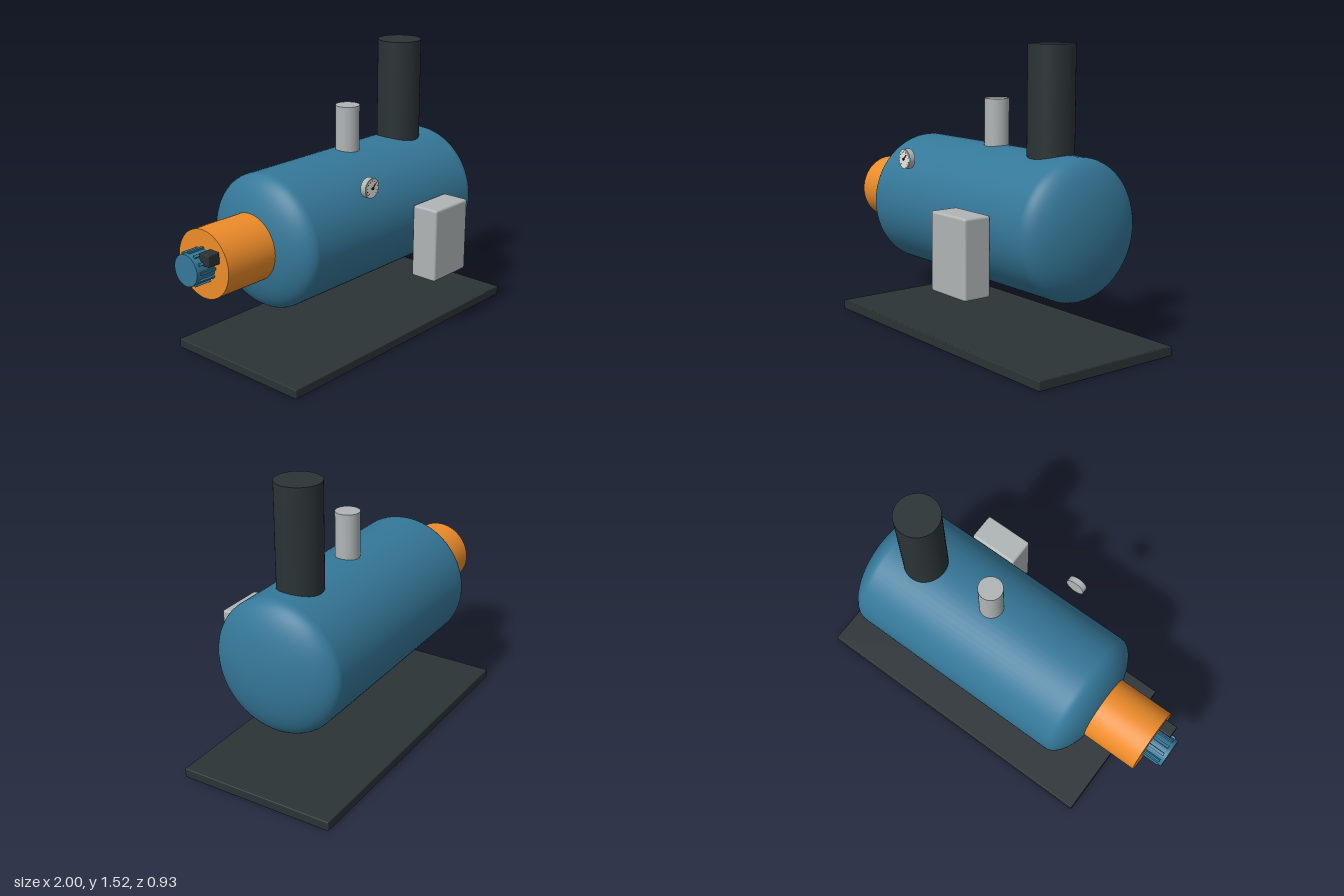
import * as THREE from 'three';
import { RoundedBoxGeometry } from 'three/addons/geometries/RoundedBoxGeometry.js';

const AXIS_Y = 0.64, AXIS_Z = -0.042;

export function createModel() {
  const model = new THREE.Group();
  model.name = 'industrialBoiler';
  const mat = (color) => new THREE.MeshStandardMaterial({ color });
  const blue = mat(0x357899), orange = mat(0xee8c2a), dark = mat(0x2b3336);
  const grey = mat(0xb0b5b6), white = mat(0xe8e8e4), red = mat(0xa02020), black = mat(0x15191b);

  function add(name, geometry, material, x, y, z, parent = model) {
    const mesh = new THREE.Mesh(geometry, material);
    mesh.name = name;
    mesh.position.set(x, y, z);
    parent.add(mesh);
    return mesh;
  }
  const cylinder = (r, h, n = 48) => new THREE.CylinderGeometry(r, r, h, n);
  const alongX = (r, h, n) => cylinder(r, h, n).rotateZ(Math.PI / 2);
  const alongZ = (r, h, n) => cylinder(r, h, n).rotateX(Math.PI / 2);

  // Base plate
  add('basePlate', new RoundedBoxGeometry(1.71, 0.05, 0.85, 2, 0.005), dark, 0.145, 0.025, -0.04);

  // Pressure vessel: straight shell with shallow elliptical ends, revolved about x
  const R = 0.352, CAP = 0.148, START = -0.455, END = 0.752, STEPS = 16;
  const profile = [];
  for (let i = 0; i <= STEPS; i++) {
    const a = (i / STEPS) * Math.PI / 2;
    profile.push(new THREE.Vector2(R * Math.sin(a), START - CAP * Math.cos(a)));
  }
  for (let i = STEPS; i >= 0; i--) {
    const a = (i / STEPS) * Math.PI / 2;
    profile.push(new THREE.Vector2(R * Math.sin(a), END + CAP * Math.cos(a)));
  }
  add('vessel', new THREE.LatheGeometry(profile, 72).rotateZ(-Math.PI / 2), blue, 0, AXIS_Y, AXIS_Z);

  // Chimney and steam outlet, both running down into the shell
  add('chimney', cylinder(0.117, 0.6), dark, 0.567, 1.22, AXIS_Z);
  add('steamOutlet', cylinder(0.064, 0.31), grey, 0.142, 1.075, AXIS_Z);

  // Burner housing
  add('burnerHousing', alongX(0.175, 0.34), orange, -0.72, AXIS_Y, AXIS_Z);

  // Finned burner motor with its terminal box
  const motor = new THREE.Group();
  motor.name = 'burnerMotor';
  motor.position.set(0, AXIS_Y, AXIS_Z);
  model.add(motor);
  add('motorBody', alongX(0.08, 0.12, 32), blue, -0.94, 0, 0, motor);
  const FINS = 12;
  for (let i = 0; i < FINS; i++) {
    const a = (i / FINS) * Math.PI * 2;
    const fin = add('coolingFin', new THREE.BoxGeometry(0.095, 0.02, 0.014), blue,
      -0.933, 0.079 * Math.cos(a), 0.079 * Math.sin(a), motor);
    fin.rotation.x = a;
  }
  add('terminalBox', new RoundedBoxGeometry(0.07, 0.06, 0.065, 2, 0.005), dark, -0.922, 0.06, 0.082, motor);

  // Control cabinet
  add('controlCabinet', new RoundedBoxGeometry(0.275, 0.398, 0.153, 3, 0.013), grey, 0.407, 0.522, 0.384);

  // Pressure gauge with dial, ticks and needle
  const gauge = new THREE.Group();
  gauge.name = 'pressureGauge';
  gauge.position.set(-0.122, 0.918, 0);
  model.add(gauge);
  add('gaugeCase', alongZ(0.052, 0.032, 40), grey, 0, 0, 0.337, gauge);
  add('gaugeDial', alongZ(0.046, 0.004, 40), white, 0, 0, 0.353, gauge);
  for (let i = 0; i < 11; i++) {
    const a = (-0.75 + 1.5 * i / 10) * Math.PI;
    const tick = add('dialTick', new THREE.BoxGeometry(0.002, 0.009, 0.002), black,
      0.038 * Math.sin(a), 0.038 * Math.cos(a), 0.355, gauge);
    tick.rotation.z = -a;
  }
  const needle = add('needle', new THREE.BoxGeometry(0.005, 0.036, 0.003), red, 0.009, 0.009, 0.358, gauge);
  needle.rotation.z = -Math.PI / 4;
  add('needleHub', alongZ(0.006, 0.008, 20), black, 0, 0, 0.358, gauge);

  return model;
}
